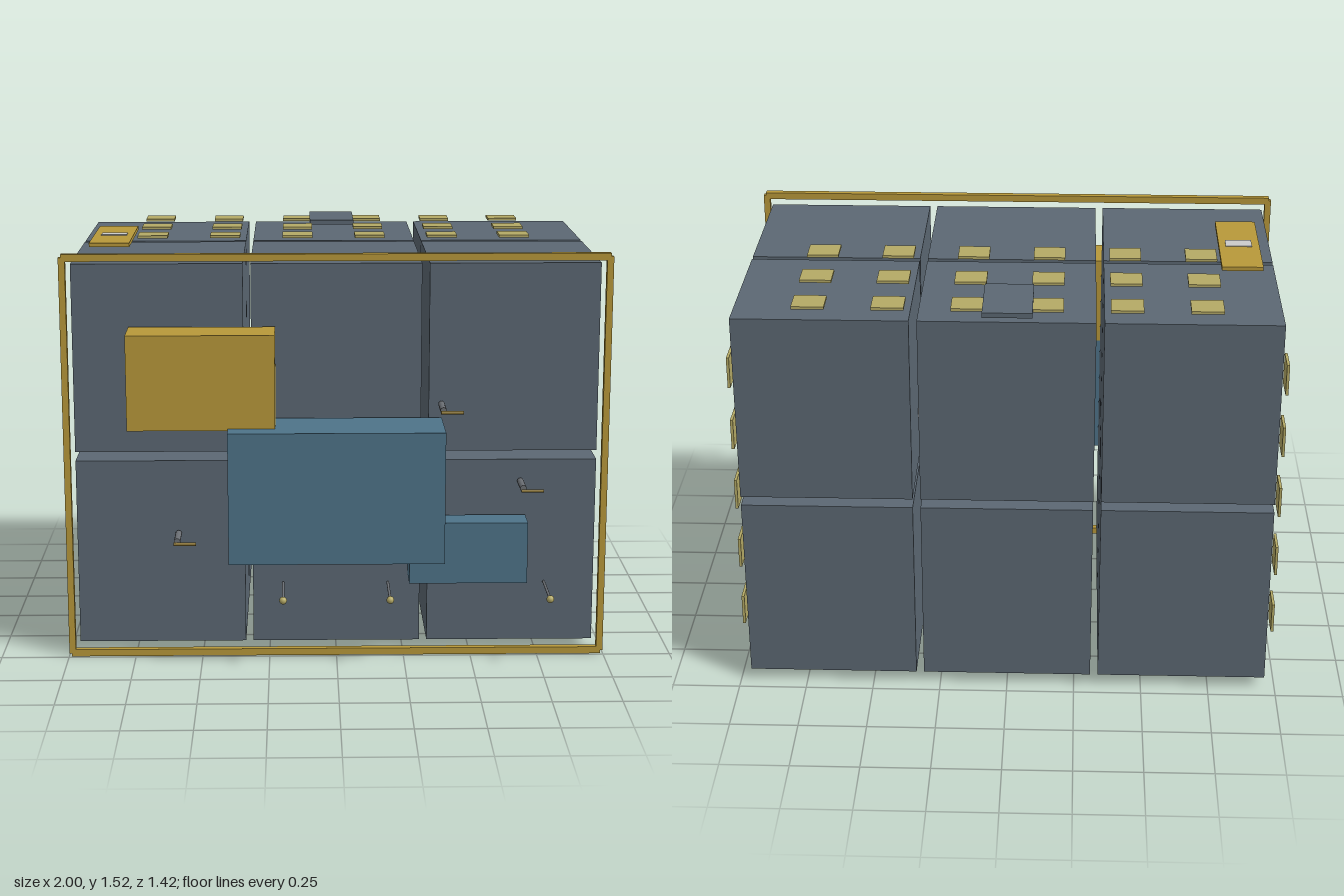
import * as THREE from 'three';

const mat = (color) => new THREE.MeshStandardMaterial({ color });

export function createModel() {
  const model = new THREE.Group();
  const slate = mat(0x5c6873), gold = mat(0xb8993a), pale = mat(0xb5aa66);
  const blue = mat(0x4e7389), steel = mat(0xcccccc), dark = mat(0x6b6f74);
  const bronze = mat(0x8a7434);

  const add = (name, geometry, material, x, y, z) => {
    const mesh = new THREE.Mesh(geometry, material);
    mesh.name = name;
    mesh.position.set(x, y, z);
    model.add(mesh);
    return mesh;
  };
  // box given by its extents on each axis
  const box = (name, material, [x0, x1], [y0, y1], [z0, z1]) =>
    add(name, new THREE.BoxGeometry(x1 - x0, y1 - y0, z1 - z0), material,
      (x0 + x1) / 2, (y0 + y1) / 2, (z0 + z1) / 2);
  // rod along z
  const rod = (name, material, r, x, y, z0, z1) =>
    add(name, new THREE.CylinderGeometry(r, r, z1 - z0, 16).rotateX(Math.PI / 2),
      material, x, y, (z0 + z1) / 2);

  // main body: 3 x 2 x 2 separate blocks
  const block = new THREE.BoxGeometry(0.622, 0.698, 0.558);
  for (const x of [-0.65, 0, 0.65])
    for (const y of [0.393, 1.125])
      for (const z of [-0.417, 0.166]) add('bodyBlock', block, slate, x, y, z);

  // rectangular front frame
  const fz = [0.464, 0.49];
  for (const y of [0, 1.489]) box('frameRail', gold, [-0.99, 0.99], [y, y + 0.026], fz);
  for (const x of [-0.987, 0.987])
    box('framePost', gold, [x - 0.012, x + 0.012], [0.012, 1.503], fz);

  // boxes projecting from the front
  box('goldFrontBox', gold, [-0.755, -0.223], [0.898, 1.245], [0.46, 0.632]);
  box('largeBlueBox', blue, [-0.393, 0.386], [0.42, 0.905], [0.46, 0.71]);
  box('smallBlueBox', blue, [0.266, 0.7], [0.304, 0.534], [0.46, 0.573]);

  // roof tiles
  const roofTile = new THREE.BoxGeometry(0.115, 0.01, 0.105);
  for (let i = 0; i < 6; i++)
    for (const z of [-0.602, -0.358, -0.114])
      add('roofTile', roofTile, pale, -0.696 + i * 0.278, 1.5, z);

  // side tiles, mirrored on both ends
  const sideTile = new THREE.BoxGeometry(0.01, 0.115, 0.105);
  for (const x of [-0.984, 0.984])
    for (let j = 0; j < 5; j++)
      for (const z of [-0.598, -0.289])
        add('sideTile', sideTile, pale, x, 0.274 + j * 0.243, z);

  // plates on the roof
  box('roofSlab', slate, [-0.09, 0.085], [1.495, 1.513], [-0.708, -0.442]);
  box('roofGoldPlate', gold, [-0.915, -0.765], [1.5, 1.515], [-0.262, 0.202]);
  box('roofLabelPlate', steel, [-0.887, -0.79], [1.51, 1.518], [-0.06, 0]);

  // three taps: internal disc, stem and cross lever
  const disc = new THREE.SphereGeometry(0.08, 24, 12).scale(1, 1, 0.3);
  const lever = new THREE.CylinderGeometry(0.006, 0.006, 0.082, 12).rotateZ(Math.PI / 2);
  for (const [x, y] of [[0.385, 0.955], [0.68, 0.663], [-0.585, 0.468]]) {
    add('tapDisc', disc, steel, x, y, -0.345);
    rod('tapStem', dark, 0.012, x, y, 0.46, 0.572);
    add('tapLever', lever, bronze, x + 0.03, y, 0.605);
  }

  // three pins with ball tips
  const ball = new THREE.SphereGeometry(0.014, 16, 12);
  for (const x of [-0.198, 0.192, 0.775]) {
    rod('pinStem', dark, 0.005, x, 0.274, 0.46, 0.675);
    add('pinBall', ball, pale, x, 0.274, 0.676);
  }
  return model;
}
